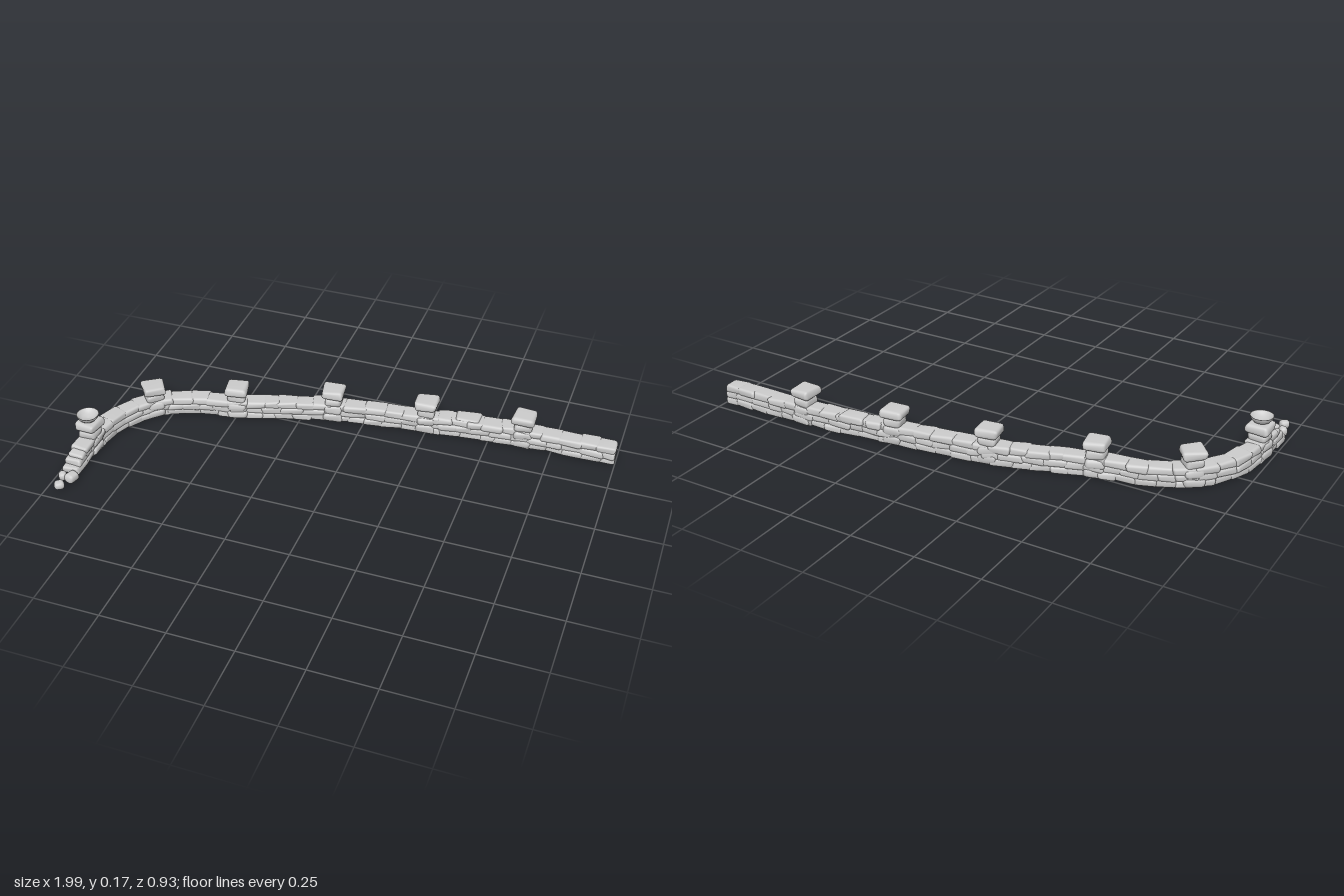
import * as THREE from 'three';
import { RoundedBoxGeometry } from 'three/addons/geometries/RoundedBoxGeometry.js';
import { mergeVertices } from 'three/addons/utils/BufferGeometryUtils.js';

const material = new THREE.MeshStandardMaterial({ color: 0xcccccc });

// Seeded random numbers in -1..1
let seed = 7;
const rand = () => {
  seed = (seed * 16807) % 2147483647;
  return (seed / 2147483647) * 2 - 1;
};

// Centre line of the wall on the ground, from the far end to the ruined end
const path = new THREE.CatmullRomCurve3([
  [0.99, -0.425], [0.63, -0.42], [0.42, -0.405], [0.245, -0.385], [-0.13, -0.335], [-0.5, -0.23],
  [-0.68, -0.19], [-0.82, -0.12], [-0.915, 0.01], [-0.95, 0.17], [-0.955, 0.345],
].map(([x, z]) => new THREE.Vector3(x, 0, z)));
path.arcLengthDivisions = 600;
const pathLength = path.getLength();

// Lumpy worn stone: a rounded block pushed in and out by smooth waves, kept above ground
function stone(name, x, y, z, length, height, depth, turn, tilt = 0, round = 0.35) {
  const radius = Math.min(length, height, depth) * round;
  let g = new RoundedBoxGeometry(length, height, depth, 2, radius);
  g.deleteAttribute('normal');
  g.deleteAttribute('uv');
  g = mergeVertices(g, 1e-5);
  const p = g.attributes.position;
  const phase = [rand() * 6, rand() * 6, rand() * 6];
  const v = new THREE.Vector3();
  const place = new THREE.Matrix4()
    .makeRotationFromEuler(new THREE.Euler(tilt * 0.5, turn, tilt, 'YXZ'))
    .setPosition(x, y, z);
  for (let i = 0; i < p.count; i++) {
    v.fromBufferAttribute(p, i);
    const a = v.x / length * 3, b = v.y / height * 3, c = v.z / depth * 3;
    v.x *= 1 + 0.06 * Math.sin(b + c + phase[0]);
    v.y *= 1 + 0.08 * Math.sin(a - c + phase[1]);
    v.z *= 1 + 0.07 * Math.sin(a + b + phase[2]);
    v.applyMatrix4(place);
    p.setXYZ(i, v.x, Math.max(0, v.y), v.z);
  }
  g.computeVertexNormals();
  const mesh = new THREE.Mesh(g, material);
  mesh.name = name;
  return mesh;
}

// Position and heading at a distance along the wall
function along(distance) {
  const u = THREE.MathUtils.clamp(distance / pathLength, 0, 1);
  const t = path.getTangentAt(u);
  return { p: path.getPointAt(u), turn: Math.atan2(-t.z, t.x) };
}

// Distance along the wall nearest a ground point
function nearest(x, z) {
  let best = 0, min = Infinity;
  for (let i = 0; i <= 400; i++) {
    const p = path.getPointAt(i / 400);
    const d = Math.hypot(p.x - x, p.z - z);
    if (d < min) { min = d; best = (i / 400) * pathLength; }
  }
  return best;
}

// Three staggered courses; the upper ones stop earlier at the ruined end
function buildWall() {
  const wall = new THREE.Group();
  wall.name = 'wall';
  const ends = [0, 0.022, 0.075];
  ends.forEach((cut, course) => {
    const end = pathLength - cut;
    let s = 0;
    while (s < end - 0.005) {
      let length = 0.068 + 0.018 * rand();
      if (s === 0) length -= course === 1 ? 0.03 : 0;
      if (end - s - length < 0.03) length = end - s;
      const { p, turn } = along(s + length / 2);
      const shift = 0.003 * rand();
      wall.add(stone('wallStone',
        p.x + Math.sin(turn) * shift, 0.0135 + course * 0.0245 + 0.0015 * rand(), p.z + Math.cos(turn) * shift,
        length + 0.014, 0.031, 0.069 + 0.005 * rand(), turn + 0.04 * rand(), 0.025 * rand()));
      s += length;
    }
  });
  // Raised bulge and low rubble where the wall breaks down
  wall.add(stone('raisedStone', 0.41, 0.068, -0.412, 0.1, 0.032, 0.07, 0.08));
  wall.add(stone('brokenStone', -0.952, 0.052, 0.285, 0.05, 0.03, 0.06, 1.6, 0.1));
  return wall;
}

// Pillar: two wall-high blocks, a neck and a wide cap
function buildPillar(x, z, name) {
  const pillar = new THREE.Group();
  pillar.name = name;
  const { p, turn } = along(nearest(x, z));
  const blocks = [
    ['pillarFoot', 0.019, 0.08, 0.04, 0.08],
    ['pillarBody', 0.054, 0.074, 0.038, 0.08],
    ['pillarNeck', 0.088, 0.07, 0.037, 0.07],
    ['pillarCap', 0.124, 0.089, 0.036, 0.089],
  ];
  for (const [part, y, w, h, d] of blocks) {
    pillar.add(stone(part, p.x + 0.002 * rand(), y, p.z + 0.002 * rand(), w, h, d,
      turn + 0.07 * rand(), 0.03 * rand(), 0.38));
  }
  return { pillar, p };
}

export function createModel() {
  seed = 7;
  const model = new THREE.Group();
  model.name = 'ruinedStoneWall';
  model.add(buildWall());

  [[0.63, -0.42], [0.245, -0.385], [-0.13, -0.335], [-0.5, -0.23], [-0.82, -0.12]]
    .forEach(([x, z]) => model.add(buildPillar(x, z, 'pillar').pillar));

  // End pillar carries an open bowl
  const { pillar, p } = buildPillar(-0.95, 0.18, 'bowlPillar');
  const profile = [
    [0, 0.138], [0.017, 0.14], [0.03, 0.147], [0.039, 0.157], [0.044, 0.169],
    [0.041, 0.169], [0.034, 0.16], [0.022, 0.152], [0, 0.149],
  ].map(([r, y]) => new THREE.Vector2(r, y));
  const bowlMaterial = material.clone();
  bowlMaterial.side = THREE.DoubleSide;
  const bowl = new THREE.Mesh(new THREE.LatheGeometry(profile, 32), bowlMaterial);
  bowl.name = 'bowl';
  bowl.position.set(p.x, 0, p.z);
  pillar.add(bowl);
  model.add(pillar);

  // Loose stones beyond the broken end
  const loose = new THREE.Group();
  loose.name = 'looseStones';
  [
    [-0.967, 0.387, 0.034, 0.034, 0.036, 0.5],
    [-0.93, 0.383, 0.042, 0.036, 0.052, -0.3],
    [-0.953, 0.442, 0.038, 0.034, 0.036, 0.7],
  ].forEach(([x, z, w, h, d, turn]) =>
    loose.add(stone('looseStone', x, h / 2, z, w, h, d, turn, 0.12 * rand(), 0.42)));
  model.add(loose);
  return model;
}
